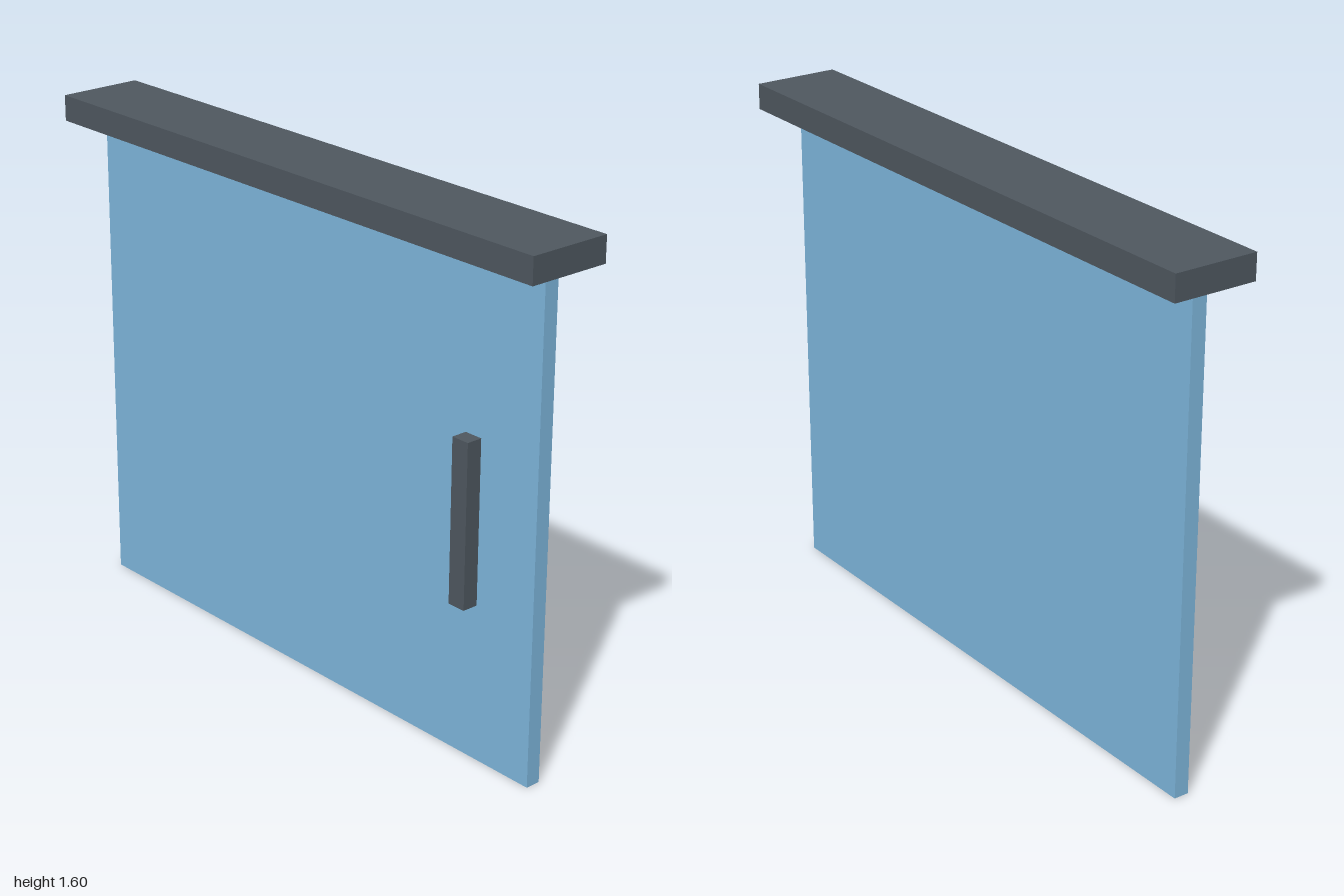
import * as THREE from 'three';

export function createModel() {
  const model = new THREE.Group();
  model.name = 'slidingDoor';

  const glass = new THREE.MeshStandardMaterial({ color: 0x7fb8de });
  const metal = new THREE.MeshStandardMaterial({ color: 0x4f5860 });

  // Adds a named box, placed by its centre
  function addBox(name, material, [w, h, d], [x, y, z]) {
    const mesh = new THREE.Mesh(new THREE.BoxGeometry(w, h, d), material);
    mesh.name = name;
    mesh.position.set(x, y, z);
    model.add(mesh);
  }

  const panelDepth = 0.047;
  const handleDepth = 0.05;

  // Door panel standing on the floor
  addBox('doorPanel', glass, [1.88, 1.5, panelDepth], [0, 0.75, 0]);

  // Overhead track, just clear of the panel's top edge
  addBox('topTrack', metal, [2, 0.08, 0.267], [0, 1.56, 0]);

  // Pull handle on the front face
  addBox('handle', metal, [0.06, 0.503, handleDepth],
    [0.693, 0.735, (panelDepth + handleDepth) / 2]);

  return model;
}
